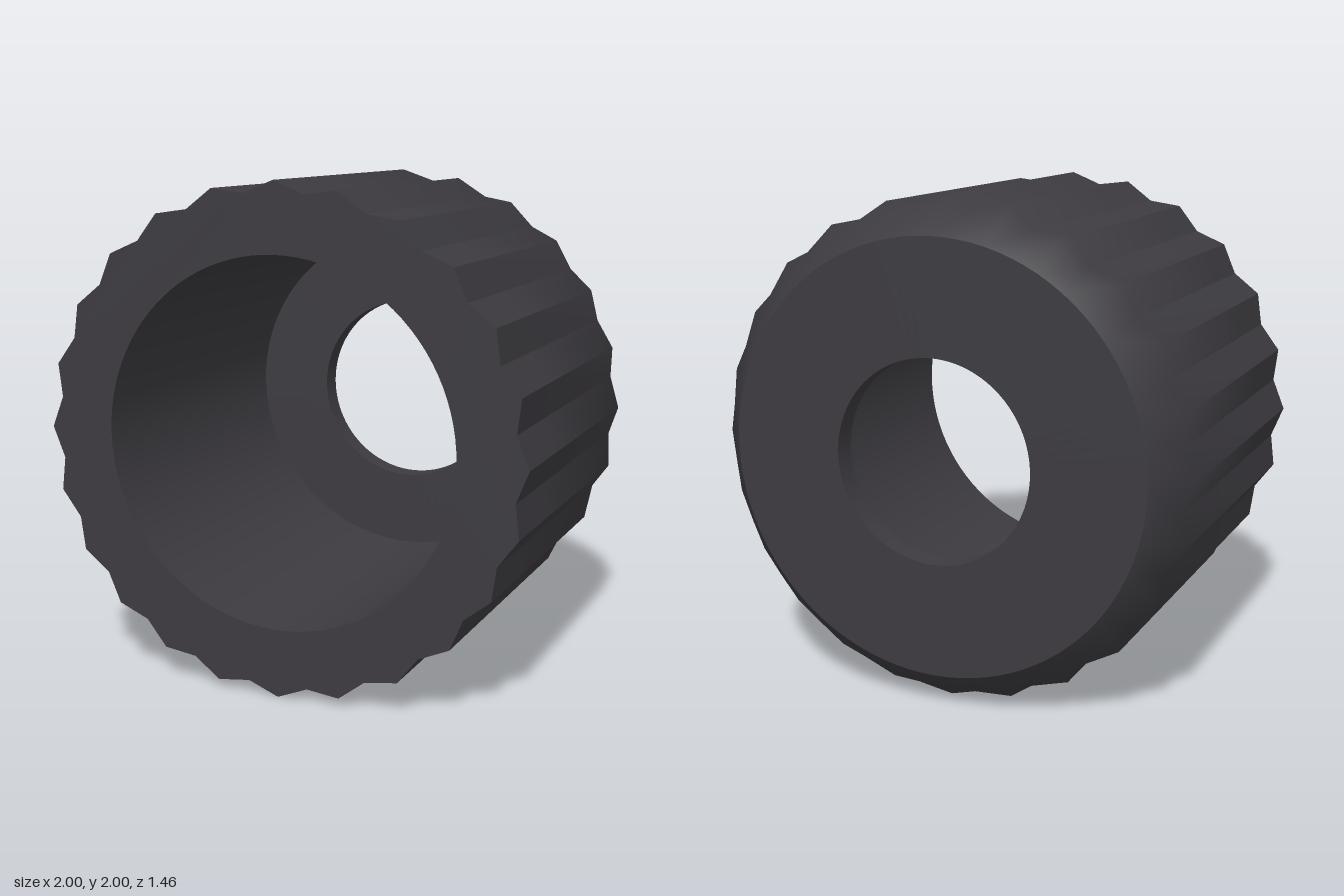
import * as THREE from 'three';

const TEETH = 24, STEPS = TEETH * 2;
const TIP = 1, VALLEY = 0.958;
const FRONT = 0.73, BACK = -0.73, CREASE_END = 0.4, BEVEL = -0.57;
const BACK_R = 0.86, BORE_R = 0.726, HOLE_R = 0.405, FLOOR = -0.63;

const radius = i => (i % 2 === 0 ? TIP : VALLEY);
const angle = i => (i / STEPS) * Math.PI * 2;
const at = (i, r, z) => new THREE.Vector3(Math.cos(angle(i)) * r, Math.sin(angle(i)) * r, z);

// Fluted grip: crisp ridges at the front that soften into a conical back bevel
function gripGeometry() {
  const positions = [], normals = [];
  const slope = (TIP - BACK_R) / (BEVEL - BACK);
  const bevelZ = i => BEVEL - (TIP - radius(i)) / slope;
  for (let i = 0; i < STEPS; i++) {
    const a = at(i, radius(i), 0), b = at(i + 1, radius(i + 1), 0);
    const flat = new THREE.Vector3(b.y - a.y, a.x - b.x, 0).normalize();
    const column = j => [
      [at(j, radius(j), FRONT), flat],
      [at(j, radius(j), CREASE_END), flat],
      [at(j, radius(j), bevelZ(j)), at(j, 1, -0.3).normalize()],
      [at(j, BACK_R, BACK), at(j, 1, -slope).normalize()],
    ];
    const A = column(i), B = column(i + 1);
    for (let k = 0; k < 3; k++) {
      for (const [p, n] of [A[k], A[k + 1], B[k], B[k], A[k + 1], B[k + 1]]) {
        positions.push(p.x, p.y, p.z);
        normals.push(n.x, n.y, n.z);
      }
    }
  }
  const g = new THREE.BufferGeometry();
  g.setAttribute('position', new THREE.Float32BufferAttribute(positions, 3));
  g.setAttribute('normal', new THREE.Float32BufferAttribute(normals, 3));
  return g;
}

// Flat toothed rim with the bore cut out
function rimGeometry() {
  const points = [];
  for (let i = 0; i < STEPS; i++) {
    const p = at(i, radius(i), 0);
    points.push(new THREE.Vector2(p.x, p.y));
  }
  const shape = new THREE.Shape(points);
  shape.holes.push(new THREE.Path().absarc(0, 0, BORE_R, 0, Math.PI * 2, true));
  return new THREE.ShapeGeometry(shape, 48).translate(0, 0, FRONT);
}

// One band of revolution about z, from (r, z) to (r, z)
function band(from, to) {
  const profile = [from, to].map(([r, z]) => new THREE.Vector2(r, z));
  return new THREE.LatheGeometry(profile, 96).rotateX(Math.PI / 2);
}

export function createModel() {
  const group = new THREE.Group();
  group.name = 'flutedKnob';
  const darkGrey = new THREE.MeshStandardMaterial({ color: 0x3d3b40 });
  darkGrey.name = 'darkGrey';

  const add = (name, geometry) => {
    const mesh = new THREE.Mesh(geometry, darkGrey);
    mesh.name = name;
    mesh.position.y = 1;
    group.add(mesh);
  };

  add('flutedGrip', gripGeometry());
  add('frontRim', rimGeometry());
  add('boreWall', band([BORE_R, FRONT], [BORE_R, FLOOR]));
  add('boreFloor', band([BORE_R, FLOOR], [HOLE_R, FLOOR]));
  add('holeWall', band([HOLE_R, FLOOR], [HOLE_R, BACK]));
  add('backFace', band([HOLE_R, BACK], [BACK_R, BACK]));
  return group;
}
